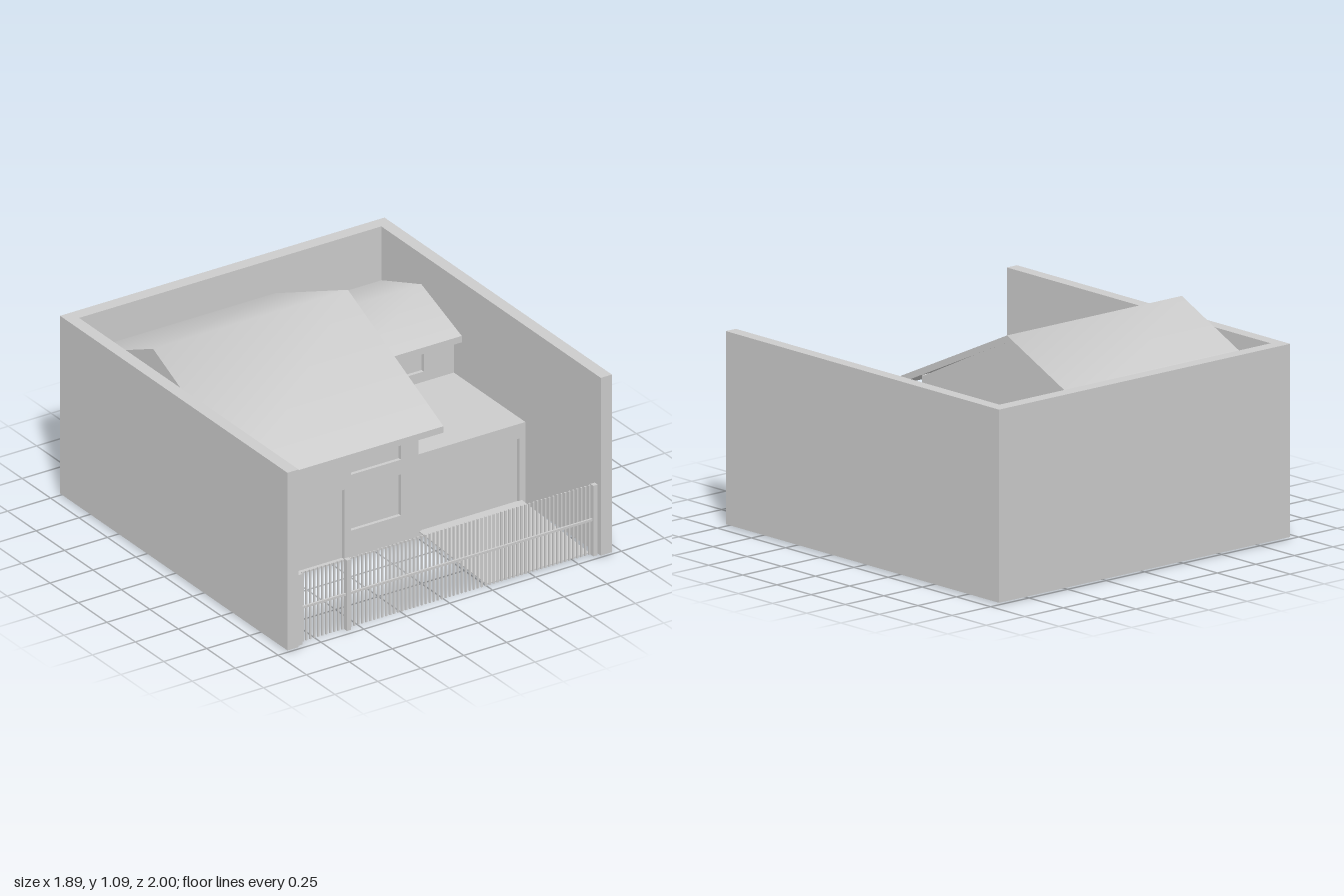
import * as THREE from 'three';
import { toCreasedNormals } from 'three/addons/utils/BufferGeometryUtils.js';

const grey = new THREE.MeshStandardMaterial({ color: 0xcccccc, side: THREE.DoubleSide });

export function createModel() {
  const model = new THREE.Group();

  const add = (name, geometry, parent = model) => {
    const mesh = new THREE.Mesh(geometry, grey);
    mesh.name = name;
    parent.add(mesh);
    return mesh;
  };

  // Box given by its extents on each axis
  const box = (name, [x0, x1], [y0, y1], [z0, z1], parent) => {
    const g = new THREE.BoxGeometry(x1 - x0, y1 - y0, z1 - z0);
    g.translate((x0 + x1) / 2, (y0 + y1) / 2, (z0 + z1) / 2);
    return add(name, g, parent);
  };

  // Profile of [z, y] points swept along x
  const sweepX = (points, x0, x1) => {
    const shape = new THREE.Shape(points.map(([z, y]) => new THREE.Vector2(-z, y)));
    const g = new THREE.ExtrudeGeometry(shape, { depth: x1 - x0, bevelEnabled: false });
    return g.rotateY(Math.PI / 2).translate(x0, 0, 0);
  };

  const rectangle = (T, [x0, x1, y0, y1]) => new T([
    new THREE.Vector2(x0, y0), new THREE.Vector2(x1, y0),
    new THREE.Vector2(x1, y1), new THREE.Vector2(x0, y1),
  ]);

  // Front wall with openings, each closed by a panel set back behind it
  const facade = (name, extents, front, openings) => {
    const group = new THREE.Group();
    group.name = name;
    const shape = rectangle(THREE.Shape, extents);
    for (const [, ...hole] of openings) shape.holes.push(rectangle(THREE.Path, hole));
    const g = new THREE.ExtrudeGeometry(shape, { depth: 0.02, bevelEnabled: false });
    add('wall', g.translate(0, 0, front - 0.02), group);
    for (const [label, x0, x1, y0, y1] of openings) {
      box(label, [x0, x1], [y0, y1], [front - 0.04, front - 0.02], group);
    }
    model.add(group);
  };

  // Pitched slab with a softly shaded ridge
  const SLAB = 0.035;
  const roof = (name, x, profile) => {
    const under = profile.map(([z, y]) => [z, y - SLAB]).reverse();
    add(name, toCreasedNormals(sweepX([...profile, ...under], ...x), 1.0));
  };

  // Boundary walls on three sides
  for (const s of [-1, 1]) {
    const x = s > 0 ? [0.88, 0.945] : [-0.945, -0.88];
    box(s > 0 ? 'leftBoundaryWall' : 'rightBoundaryWall', x, [0.01, 0.98], [-1, 1]);
  }
  box('backBoundaryWall', [-0.88, 0.88], [0.01, 0.98], [-1, -0.93]);

  // Main house
  const FRONT = 0.345, BACK = -0.915;
  const mainWindows = [[-0.78, -0.49], [-0.14, 0.15]].flatMap(([a, b]) => [
    ['lowerWindow', a, b, 0.155, 0.38],
    ['upperWindow', a, b, 0.46, 0.63],
  ]);
  facade('mainFrontWall', [-0.878, 0.253, 0, 0.768], FRONT, [
    ...mainWindows, ['frontDoor', -0.47, -0.18, 0.01, 0.39],
  ]);
  const gable = [[FRONT - 0.02, 0], [FRONT - 0.02, 0.77], [-0.28, 1.06], [BACK, 0.765], [BACK, 0]];
  add('mainLeftGable', sweepX(gable, 0.235, 0.253));
  add('mainRightGable', sweepX(gable, -0.878, -0.86));
  box('mainBackWall', [-0.86, 0.235], [0, 0.76], [BACK, BACK + 0.02]);
  roof('mainRoof', [-0.88, 0.255], [[0.56, 0.705], [-0.28, 1.09], [-0.92, 0.797]]);

  // Side wing: garage below, terrace in front of a set-back upper room
  const ROOM = -0.285;
  facade('garageFrontWall', [0.253, 0.875, 0, 0.46], FRONT, [['garageDoor', 0.27, 0.84, 0.03, 0.38]]);
  box('terrace', [0.253, 0.875], [0.44, 0.46], [ROOM - 0.02, FRONT - 0.02]);
  facade('upperRoomFrontWall', [0.253, 0.875, 0.46, 0.685], ROOM, [['roomWindow', 0.4, 0.7, 0.515, 0.63]]);
  add('wingSideWall', sweepX([
    [FRONT - 0.02, 0], [FRONT - 0.02, 0.44], [ROOM - 0.02, 0.44], [ROOM - 0.02, 0.685],
    [-0.57, 0.79], [BACK, 0.665], [BACK, 0],
  ], 0.858, 0.875));
  box('wingBackWall', [0.253, 0.858], [0, 0.665], [BACK, BACK + 0.02]);
  roof('wingRoof', [0.255, 0.875], [[-0.215, 0.69], [-0.57, 0.82], [-0.92, 0.692]]);

  // Sloping driveway
  add('driveway', sweepX([[0.935, 0], [0.935, 0.006], [FRONT, 0.04], [FRONT, 0.034]], 0.255, 0.855));

  // Fence
  const fence = new THREE.Group();
  fence.name = 'fence';
  model.add(fence);
  for (const [a, b] of [[-0.88, -0.843], [-0.585, -0.56], [0.85, 0.876]]) {
    box('fencePost', [a, b], [0.005, 0.39], [0.953, 0.979], fence);
  }
  box('fenceRail', [-0.845, 0.855], [0.195, 0.207], [0.962, 0.972], fence);
  const COUNT = 73;
  for (let i = 0; i < COUNT; i++) {
    const x = -0.83 + (1.67 * i) / (COUNT - 1);
    box('picket', [x - 0.005, x + 0.005], [0.01, 0.388], [0.954, 0.962], fence);
  }

  return model;
}
